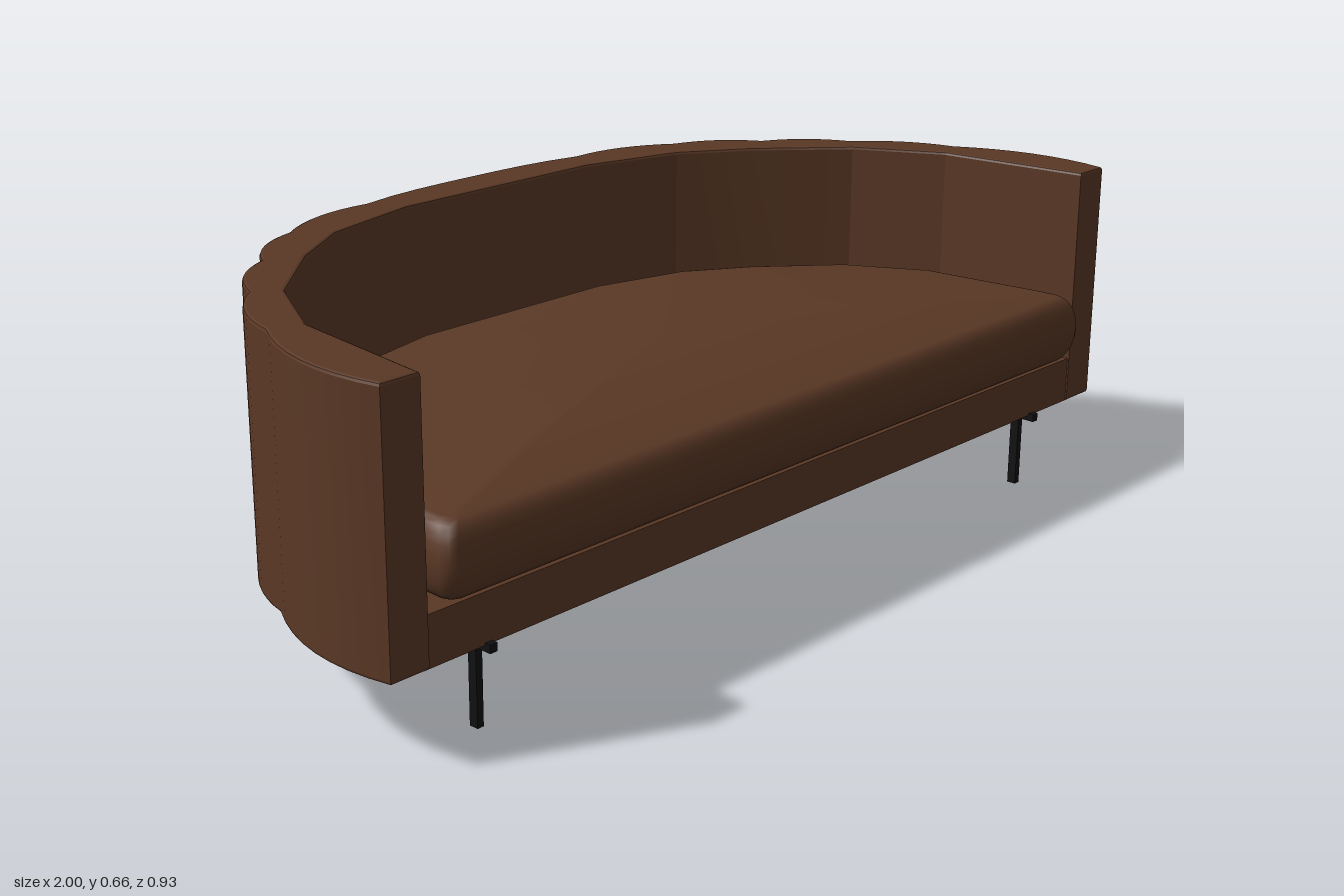
import * as THREE from 'three';
import { toCreasedNormals } from 'three/addons/utils/BufferGeometryUtils.js';

const upholstery = new THREE.MeshStandardMaterial({ name: 'brown upholstery', color: 0x5a3825 });
const metal = new THREE.MeshStandardMaterial({ name: 'black metal', color: 0x111113 });

// Plan outlines as [x, z], from the middle of the back round to the left arm front
const cusps = [[0.29, -0.442], [0.53, -0.375], [0.685, -0.255], [0.82, -0.11], [0.935, 0.085], [0.985, 0.43]];
const bulges = [0.025, 0.022, 0.022, 0.022, 0.036];
const inner = [[0.25, -0.366], [0.47, -0.312], [0.61, -0.222], [0.775, -0.07], [0.87, 0.11], [0.905, 0.43]];

const mirrorX = (pts) => pts.map(([x, z]) => [-x, z]).reverse();

// Scalloped half outline: one shallow arc between each pair of cusps
function scallops() {
  const out = [], steps = 8;
  for (let i = 0; i <= steps / 2; i++) {
    const t = i / (steps / 2);
    out.push([0.29 * t, -0.466 + 0.024 * t ** 3]);
  }
  for (let k = 0; k < bulges.length; k++) {
    const [ax, az] = cusps[k], [bx, bz] = cusps[k + 1];
    const len = Math.hypot(bx - ax, bz - az);
    const nx = -(az - bz) / len * -1, nz = -(bx - ax) / len;
    for (let i = 1; i <= steps; i++) {
      const t = i / steps, h = bulges[k] * 4 * t * (1 - t);
      out.push([ax + (bx - ax) * t + nx * Math.abs(h) * Math.sign(nx || 1), az + (bz - az) * t + nz * h]);
    }
  }
  return out;
}

// Upright prism over a plan outline
function prism(pts, y0, y1, bevel) {
  const shape = new THREE.Shape(pts.map(([x, z]) => new THREE.Vector2(x, -z)));
  const geo = new THREE.ExtrudeGeometry(shape, {
    depth: y1 - y0 - 2 * bevel, bevelEnabled: bevel > 0, bevelSize: bevel,
    bevelThickness: bevel, bevelOffset: -bevel, bevelSegments: 2,
  });
  geo.rotateX(-Math.PI / 2);
  geo.translate(0, y0 + bevel, 0);
  return toCreasedNormals(geo, 0.32);
}

// Domed seat cushion: stacked rings of one outline with a rounded rim
function cushionGeometry() {
  const half = [[0.868, 0.464], [0.882, 0.457], [0.889, 0.44], [0.888, 0.4], [0.855, 0.11],
    [0.762, -0.066], [0.602, -0.214], [0.465, -0.304], [0.25, -0.357]];
  const outline = [...half, ...mirrorX(half)];
  const n = outline.length, zc = 0.1, rings = [];
  const rim = 0.034;
  rings.push([rim, 0.265, 0]);
  for (let i = 0; i <= 12; i++) {
    const a = -Math.PI / 2 + Math.PI * i / 12;
    rings.push([rim * (1 - Math.cos(a)), 0.335 + 0.07 * Math.sin(a), 1]);
  }
  for (let i = 9; i >= 0; i--) {
    const s = i / 10;
    rings.push([rim, 0.405 + 0.043 * (1 - s * s), s]);
  }
  const pos = [], idx = [];
  for (const [inset, y, s] of rings) {
    for (const [x, z] of outline) {
      pos.push(x * s * (1 - inset / 0.889), y, zc + (z - zc) * s * (1 - inset / 0.364));
    }
  }
  for (let r = 0; r < rings.length - 1; r++) {
    for (let j = 0; j < n; j++) {
      const a = r * n + j, b = r * n + (j + 1) % n;
      idx.push(a, b, b + n, a, b + n, a + n);
    }
  }
  const geo = new THREE.BufferGeometry();
  geo.setAttribute('position', new THREE.Float32BufferAttribute(pos, 3));
  geo.setIndex(idx);
  geo.computeVertexNormals();
  return geo;
}

export function createModel() {
  const group = new THREE.Group();
  group.name = 'curvedSofa';
  const add = (name, geo, mat, parent = group) => {
    const mesh = new THREE.Mesh(geo, mat);
    mesh.name = name;
    parent.add(mesh);
    return mesh;
  };

  // Wrap-around back and arms
  const outer = scallops();
  const wall = [...mirrorX(outer), ...outer.slice(1), ...[...inner].reverse(), ...inner.map(([x, z]) => [-x, z])];
  add('backAndArms', prism(wall, 0.16, 0.66, 0.006), upholstery);

  // Seat base, tucked slightly into the wall
  const base = inner.map(([x, z]) => [x * 1.01, z < 0.4 ? z - 0.01 : 0.427]);
  add('seatBase', prism([...mirrorX(base), ...base], 0.1605, 0.255, 0), upholstery);

  add('seatCushion', cushionGeometry(), upholstery);

  // Slim legs, each with a narrow mounting bar
  for (const side of [1, -1]) {
    for (const [name, x, z] of [['frontLeg', 0.775, 0.393], ['backLeg', 0.555, -0.327]]) {
      const leg = new THREE.Group();
      leg.name = name;
      leg.position.set(side * x, 0, z);
      add('post', new THREE.BoxGeometry(0.014, 0.152, 0.019).translate(0, 0.076, 0), metal, leg);
      add('mountingBar', new THREE.BoxGeometry(0.016, 0.016, 0.092).translate(0, 0.157, 0), metal, leg);
      group.add(leg);
    }
  }
  return group;
}
